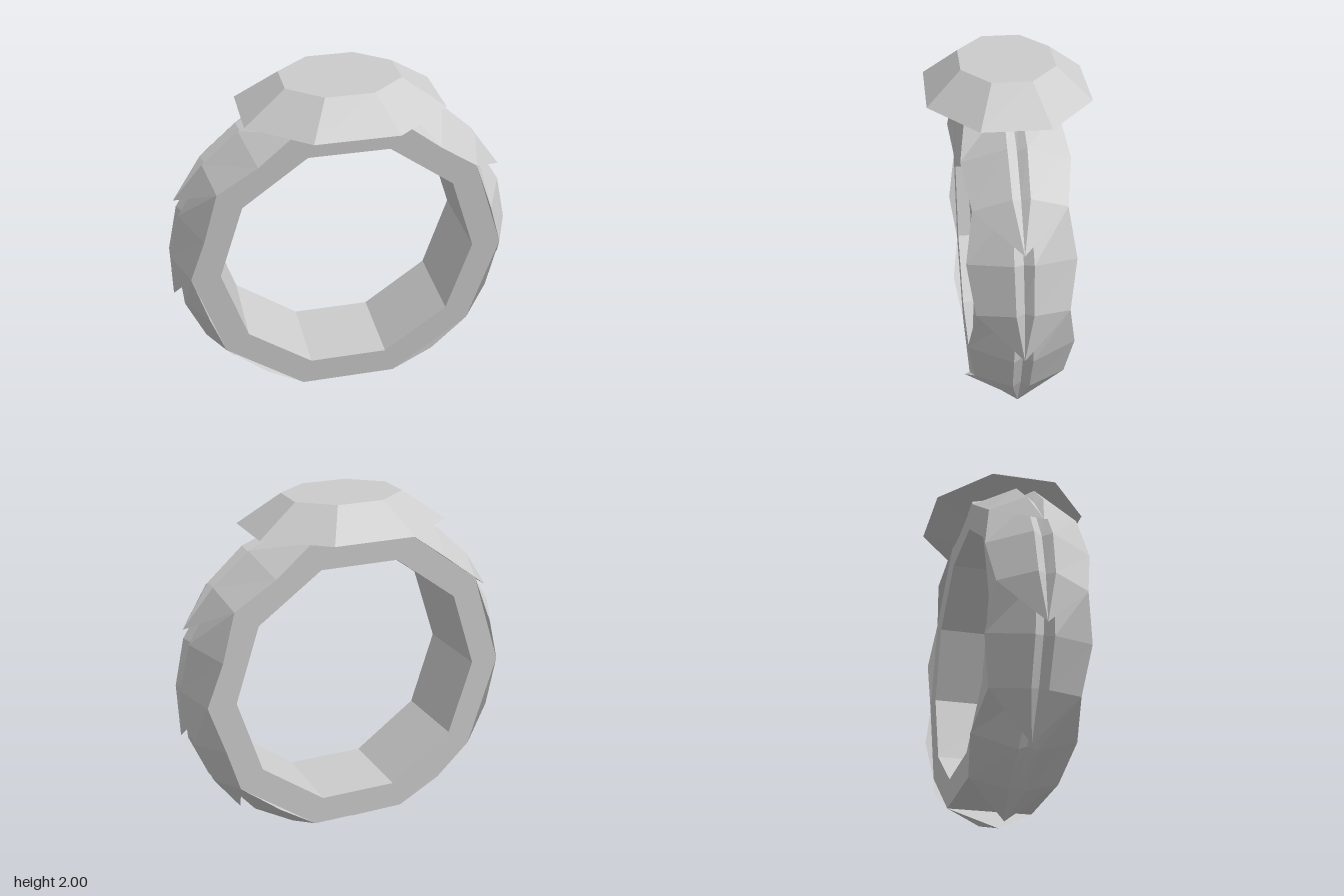
import * as THREE from 'three';

const CENTER_Y = 0.985;
const material = new THREE.MeshStandardMaterial({ color: 0xcccccc, flatShading: true });

// Skin a stack of closed rings, with a cap on the first; the last ring may shrink to a point.
function loft(rings) {
  const pos = [];
  const tri = (a, b, c) => pos.push(...a, ...b, ...c);
  const n = rings[0].length;
  for (let i = 0; i < rings.length - 1; i++) {
    const toPoint = i === rings.length - 2;
    for (let j = 0; j < n; j++) {
      const k = (j + 1) % n;
      const [a, b, na, nb] = [rings[i][j], rings[i][k], rings[i + 1][j], rings[i + 1][k]];
      tri(a, na, b);
      if (!toPoint) tri(b, na, nb);
    }
  }
  for (let j = 1; j < n - 1; j++) tri(rings[0][0], rings[0][j], rings[0][j + 1]);
  const geometry = new THREE.BufferGeometry();
  geometry.setAttribute('position', new THREE.Float32BufferAttribute(pos, 3));
  geometry.computeVertexNormals();
  return geometry;
}

// Ten-sided outline
function decagon(radius, Type) {
  const points = [];
  for (let i = 0; i < 10; i++) {
    const a = (i * Math.PI) / 5;
    points.push(new THREE.Vector2(radius * Math.cos(a), radius * Math.sin(a)));
  }
  return new Type(points);
}

function makeBand() {
  const shape = decagon(0.87, THREE.Shape);
  shape.holes.push(decagon(0.71, THREE.Path));
  const geometry = new THREE.ExtrudeGeometry(shape, { depth: 0.48, bevelEnabled: false });
  geometry.translate(0, CENTER_Y, -0.24);
  return geometry;
}

// Pointed scale with a V groove along its back, lying over one side of the band
function makeScale() {
  const at = (deg, r, z) => {
    const a = THREE.MathUtils.degToRad(deg);
    return [r * Math.cos(a), r * Math.sin(a), z];
  };
  const section = (edge, ridge, groove) => [
    at(edge[0], edge[1], edge[2]),
    at(ridge[0], ridge[1], ridge[2]),
    at(ridge[0], groove, 0),
    at(ridge[0], ridge[1], -ridge[2]),
    at(edge[0], edge[1], -edge[2]),
  ];
  return loft([
    section([36, 0.87, 0.24], [36, 0.925, 0.045], 0.9),
    section([18, 0.829, 0.28], [18.3, 0.947, 0.05], 0.915),
    section([0, 0.87, 0.24], [2.2, 0.957, 0.045], 0.93),
    Array(5).fill(at(-14.2, 0.985, 0)),
  ]);
}

// Long octagonal cut stone: table, girdle and shallow underside
function makeStone() {
  const ring = (s, y) => [
    [0.535, 0.18], [0.535, -0.18], [0.225, -0.43], [-0.225, -0.43],
    [-0.535, -0.18], [-0.535, 0.18], [-0.225, 0.43], [0.225, 0.43],
  ].map(([x, z]) => [x * s, y, z * s]);
  return loft([ring(0.575, 2), ring(1, 1.84), ring(0.575, 1.782), ring(0.25, 1.76), ring(0, 1.76)]);
}

export function createModel() {
  const model = new THREE.Group();
  const add = (parent, geometry, name) => {
    const mesh = new THREE.Mesh(geometry, material);
    mesh.name = name;
    parent.add(mesh);
    return mesh;
  };

  add(model, makeBand(), 'band');
  add(model, makeStone(), 'stone');

  // Four overlapping scales down each side
  const scale = makeScale();
  for (const side of ['left', 'right']) {
    const row = new THREE.Group();
    row.name = side + 'Scales';
    row.position.y = CENTER_Y;
    if (side === 'right') row.rotation.y = Math.PI;
    for (let i = 0; i < 4; i++) {
      add(row, scale, side + 'Scale' + (i + 1)).rotation.z = ((1 - i) * Math.PI) / 5;
    }
    model.add(row);
  }
  return model;
}
